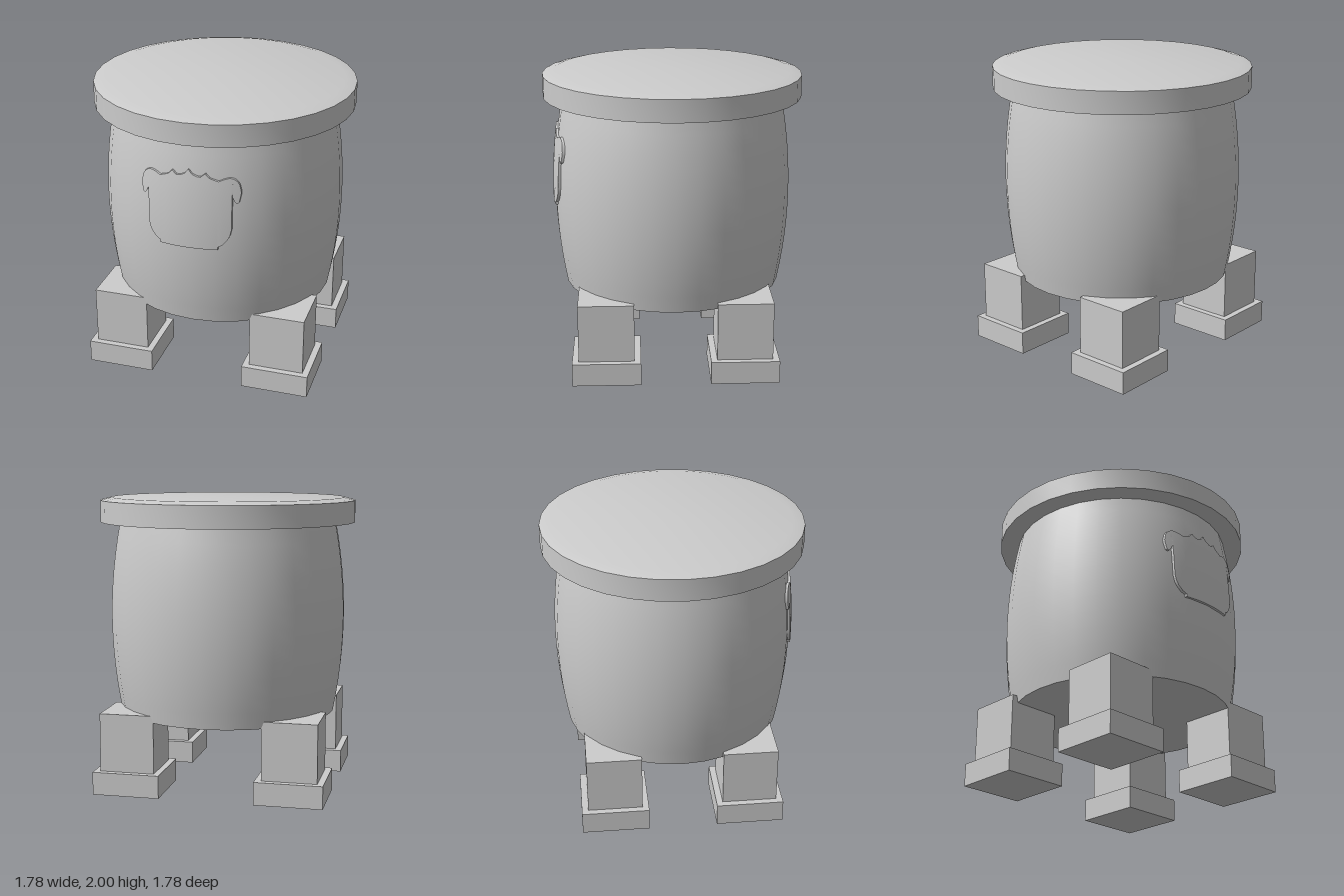
import * as THREE from 'three';
import { toCreasedNormals } from 'three/addons/utils/BufferGeometryUtils.js';

const SEGMENTS = 32;

// Barrel radius at height y: bulges in the middle
const barrelRadius = (y) => 0.82 - 0.065 * ((y - 1.17) / 0.66) ** 2;

function lathe(points, material, name) {
  const profile = points.map(([r, y]) => new THREE.Vector2(r, y));
  const geometry = toCreasedNormals(new THREE.LatheGeometry(profile, SEGMENTS), 0.6);
  const mesh = new THREE.Mesh(geometry, material);
  mesh.name = name;
  return mesh;
}

// Thin curved plate that hugs the barrel, built from vertical columns [x, top, bottom]
function platedOrnament(material) {
  const half = [
    [0, 1.635, 1.095], [0.025, 1.605, 1.095], [0.055, 1.592, 1.095], [0.08, 1.59, 1.095],
    [0.11, 1.615, 1.095], [0.135, 1.588, 1.095], [0.16, 1.578, 1.095], [0.195, 1.567, 1.095],
    [0.196, 1.567, 1.115], [0.225, 1.58, 1.13], [0.255, 1.588, 1.165], [0.27, 1.588, 1.195],
    [0.28, 1.585, 1.24], [0.281, 1.585, 1.465], [0.295, 1.578, 1.435],
    [0.31, 1.565, 1.418], [0.322, 1.545, 1.425], [0.333, 1.5, 1.48],
  ];
  const columns = [...half.slice(1).reverse().map(([x, t, b]) => [-x, t, b]), ...half];
  const rows = 10;
  const at = (i, j, lift) => {
    const [x, top, bottom] = columns[i];
    const y = bottom + ((top - bottom) * j) / rows;
    return [x, y, Math.sqrt((barrelRadius(y) + lift) ** 2 - x * x)];
  };
  const positions = [];
  const quad = (a, b, c, d) => positions.push(...a, ...b, ...c, ...a, ...c, ...d);
  const outer = 0.014, inner = -0.012;
  const last = columns.length - 1;
  for (let i = 0; i < last; i++) {
    for (let j = 0; j < rows; j++) {
      quad(at(i, j, outer), at(i + 1, j, outer), at(i + 1, j + 1, outer), at(i, j + 1, outer));
    }
    // Bottom and top rims
    quad(at(i, 0, inner), at(i + 1, 0, inner), at(i + 1, 0, outer), at(i, 0, outer));
    quad(at(i, rows, outer), at(i + 1, rows, outer), at(i + 1, rows, inner), at(i, rows, inner));
  }
  // End rims
  quad(at(0, 0, inner), at(0, 0, outer), at(0, rows, outer), at(0, rows, inner));
  quad(at(last, 0, outer), at(last, 0, inner), at(last, rows, inner), at(last, rows, outer));

  const geometry = new THREE.BufferGeometry();
  geometry.setAttribute('position', new THREE.Float32BufferAttribute(positions, 3));
  const mesh = new THREE.Mesh(toCreasedNormals(geometry, 0.6), material);
  mesh.name = 'frontOrnament';
  return mesh;
}

export function createModel() {
  const model = new THREE.Group();
  model.name = 'footedBarrel';
  const grey = new THREE.MeshStandardMaterial({ color: 0xcccccc });
  grey.name = 'plainGrey';

  // Bulging barrel with a closed bottom
  const wall = [[0, 0.51]];
  for (let i = 0; i <= 12; i++) {
    const y = 0.51 + (1.32 * i) / 12;
    wall.push([barrelRadius(y), y]);
  }
  model.add(lathe(wall, grey, 'barrel'));

  // Overhanging lid with a softly sloped top
  model.add(lathe([[0, 1.83], [0.888, 1.83], [0.888, 1.98], [0.81, 2], [0, 2]], grey, 'lid'));

  model.add(platedOrnament(grey));

  // Four square legs on wider feet
  const legGeometry = new THREE.BoxGeometry(0.376, 0.4, 0.376);
  const footGeometry = new THREE.BoxGeometry(0.463, 0.157, 0.463);
  for (const sx of [-1, 1]) {
    for (const sz of [-1, 1]) {
      const support = new THREE.Group();
      support.name = `${sz > 0 ? 'front' : 'back'}${sx > 0 ? 'Left' : 'Right'}Support`;
      const leg = new THREE.Mesh(legGeometry, grey);
      leg.name = 'leg';
      leg.position.y = 0.357;
      const foot = new THREE.Mesh(footGeometry, grey);
      foot.name = 'foot';
      foot.position.y = 0.0785;
      support.add(leg, foot);
      support.position.set(sx * 0.557, 0, sz * 0.467);
      model.add(support);
    }
  }
  return model;
}
